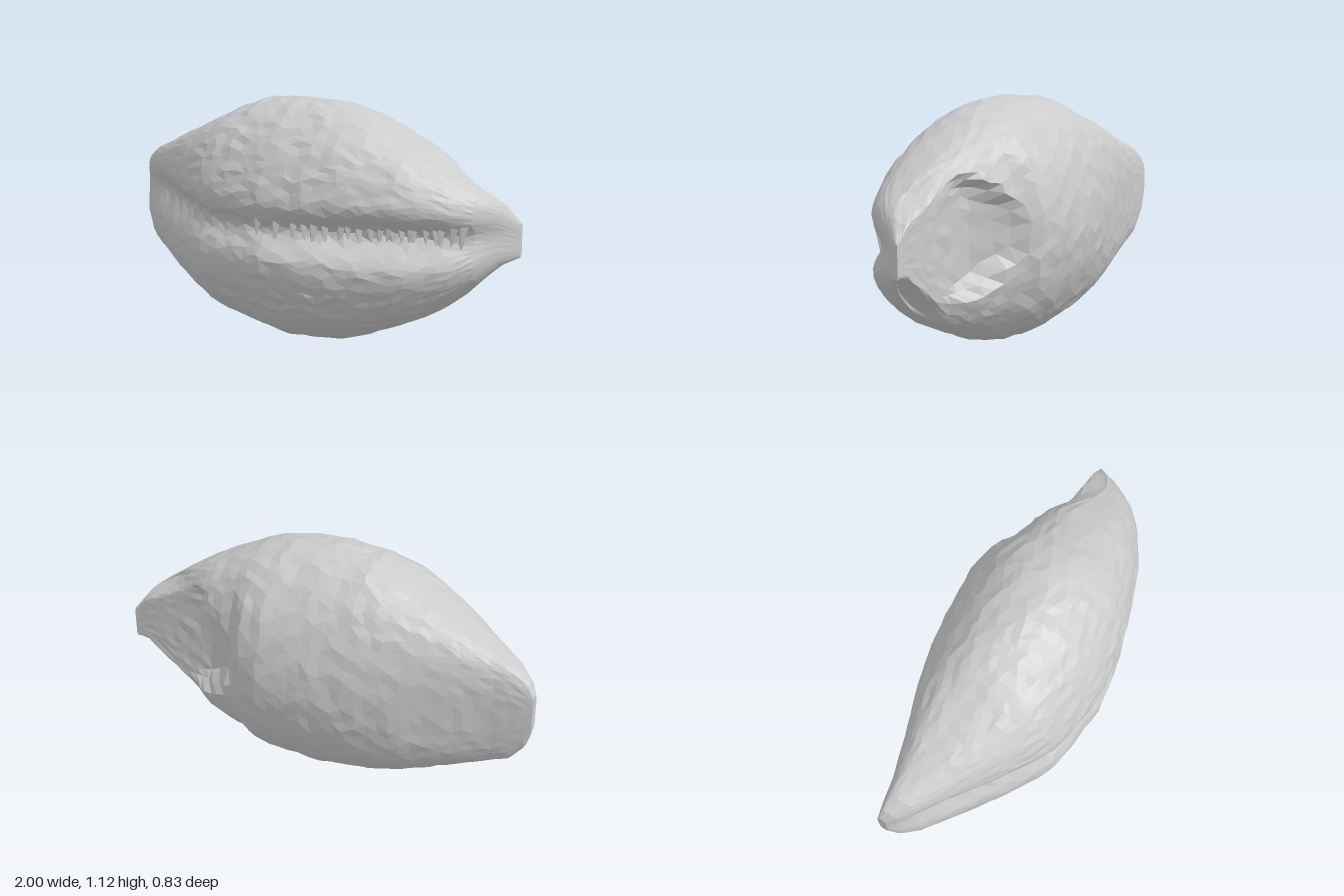
import * as THREE from 'three';

// Lengthwise stations: x, top y, bottom y, front z, back z, z of the top ridge
const STATIONS = [
  [-1.0, 0.70, 0.52, -0.09, -0.15, -0.13],
  [-0.975, 0.745, 0.43, -0.055, -0.155, -0.12],
  [-0.9, 0.80, 0.335, 0.01, -0.17, -0.10],
  [-0.8, 0.84, 0.29, 0.08, -0.19, -0.08],
  [-0.6, 0.93, 0.20, 0.215, -0.25, -0.05],
  [-0.4, 1.02, 0.105, 0.335, -0.32, -0.02],
  [-0.33, 1.055, 0.08, 0.37, -0.34, -0.015],
  [-0.2, 1.105, 0.035, 0.395, -0.375, -0.01],
  [0.0, 1.12, 0.003, 0.415, -0.405, 0.0],
  [0.2, 1.105, 0.02, 0.39, -0.42, 0.0],
  [0.32, 1.075, 0.05, 0.36, -0.395, -0.01],
  [0.38, 1.05, 0.075, 0.34, -0.335, -0.02],
  [0.6, 0.94, 0.165, 0.265, -0.265, -0.05],
  [0.67, 0.90, 0.205, 0.23, -0.20, -0.06],
  [0.78, 0.825, 0.285, 0.17, -0.18, -0.06],
  [0.86, 0.77, 0.36, 0.10, -0.178, -0.06],
  [0.93, 0.72, 0.435, -0.01, -0.178, -0.10],
  [1.0, 0.62, 0.47, -0.13, -0.175, -0.155],
];
const RINGS = 46, SIDES = 64;
const { lerp, smoothstep } = THREE.MathUtils;

// Repeatable noise in -1..1
function noise(a, b) {
  const s = Math.sin(a * 127.1 + b * 311.7) * 43758.5453;
  return 2 * (s - Math.floor(s)) - 1;
}

function sectionAt(x) {
  let k = 0;
  while (k < STATIONS.length - 2 && x > STATIONS[k + 1][0]) k++;
  const a = STATIONS[k], b = STATIONS[k + 1];
  const t = THREE.MathUtils.clamp((x - a[0]) / (b[0] - a[0]), 0, 1);
  const [, top, bottom, front, back, ridge] = a.map((v, i) => lerp(v, b[i], t));
  return { mid: (top + bottom) / 2, half: (top - bottom) / 2, front, back, ridge };
}

// Sections are round in the middle and squarer towards both ends
function squareness(x) {
  return 1.95 + (x < 0 ? 1.0 : 0.6) * smoothstep(Math.abs(x), 0.1, 0.7);
}

// Depth of the mouth-like slit: steep below the upper lip, gentle over the lower
function slitDepth(x, y, s) {
  const centre = lerp(0.57, 0.62, smoothstep(-x, 0.1, 0.9));
  const depth = Math.min(lerp(0.07, 0.13, smoothstep(x, -0.2, 0.4)), 0.4 * (s.front - s.ridge));
  const d = y - centre;
  return depth * Math.exp(-((d / (d > 0 ? 0.07 : 0.09)) ** 2));
}

function frontZ(x, y) {
  const s = sectionAt(x), n = squareness(x);
  const v = Math.min(1, Math.abs(y - s.mid) / s.half);
  const round = (1 - v ** n) ** (1 / n);
  return s.ridge + (s.front * 1.03 - s.ridge) * round - slitDepth(x, y, s);
}

function shellPoint(x, angle) {
  const s = sectionAt(x), power = 2 / squareness(x), c = Math.cos(angle);
  const y = s.mid + s.half * Math.sign(c) * Math.abs(c) ** power;
  if (Math.sin(angle) >= 0) return [x, y, frontZ(x, y)];
  // The round back narrows in a step to the flat stalk stub
  const depth = -Math.sin(angle);
  const stub = smoothstep(x, 0.68, 0.8) * (1 - smoothstep(x, 0.92, 1));
  let z = s.ridge + (s.back - s.ridge) * lerp(depth ** power, smoothstep(depth, 0.35, 0.8), stub);
  // Oval scar pressed into the back of the stalk end
  const r = Math.hypot((x - 0.74) / 0.38, (y - 0.59) / 0.28);
  const floor = lerp(-0.28, -0.165, smoothstep(x, 0.36, 0.58));
  z = lerp(z, Math.max(z, floor), 1 - smoothstep(r, 0.87, 1.0));
  return [x, y, z];
}

// Faceted husk lofted through the stations
function huskGeometry() {
  const positions = [], index = [];
  for (let i = 0; i <= RINGS; i++) {
    const x0 = lerp(-Math.cos((i / RINGS) * Math.PI), -1 + (2 * i) / RINGS, 0.7);
    const inner = i > 0 && i < RINGS ? sectionAt(x0).half / 0.55 : 0;
    for (let j = 0; j < SIDES; j++) {
      const t = ((j + (i % 2) * 0.5) / SIDES) * Math.PI * 2;
      const angle = t + 0.28 * Math.cos(t) + inner * 0.02 * noise(j, i + 90);
      const p = shellPoint(x0 + inner * 0.012 * noise(i, j), angle);
      const bump = inner * 0.005 * noise(i + 40, j);
      positions.push(p[0], p[1] + bump * Math.cos(angle), p[2] + bump * Math.sin(angle));
    }
  }
  for (let i = 0; i < RINGS; i++) {
    for (let j = 0; j < SIDES; j++) {
      const k = (j + 1) % SIDES;
      const a = i * SIDES + j, b = i * SIDES + k, c = a + SIDES, d = b + SIDES;
      if (i % 2) index.push(a, b, d, a, d, c);
      else index.push(a, b, c, b, d, c);
    }
  }
  // End caps
  for (const [ring, x] of [[0, -1], [RINGS, 1]]) {
    const s = sectionAt(x), centre = positions.length / 3;
    positions.push(x, s.mid, (s.front + s.back) / 2);
    for (let j = 0; j < SIDES; j++) {
      const a = ring * SIDES + j, b = ring * SIDES + ((j + 1) % SIDES);
      index.push(centre, ...(x < 0 ? [b, a] : [a, b]));
    }
  }
  const geometry = new THREE.BufferGeometry();
  geometry.setAttribute('position', new THREE.Float32BufferAttribute(positions, 3));
  geometry.setIndex(index);
  geometry.computeVertexNormals();
  return geometry;
}

export function createModel() {
  const group = new THREE.Group();
  group.name = 'splitNut';
  const material = new THREE.MeshStandardMaterial({ color: 0xcccccc, flatShading: true });

  const husk = new THREE.Mesh(huskGeometry(), material);
  husk.name = 'husk';
  group.add(husk);

  // Ragged fibres hanging from the upper lip into the slit
  const fibres = new THREE.Group();
  fibres.name = 'slitFibres';
  for (let i = 0; i < 20; i++) {
    const x = lerp(-0.04, 0.82, (i / 19) ** 0.75) + 0.014 * noise(i, 3);
    const length = 0.115 + 0.035 * noise(i, 7);
    const geometry = new THREE.ConeGeometry(0.026, length, 4);
    geometry.rotateX(Math.PI);
    const fibre = new THREE.Mesh(geometry, material);
    fibre.name = 'fibre';
    const y = 0.63 - length / 2;
    fibre.position.set(x, y, frontZ(x, y) + 0.01);
    fibre.rotation.z = 0.15 * noise(i, 11);
    fibres.add(fibre);
  }
  group.add(fibres);
  return group;
}
